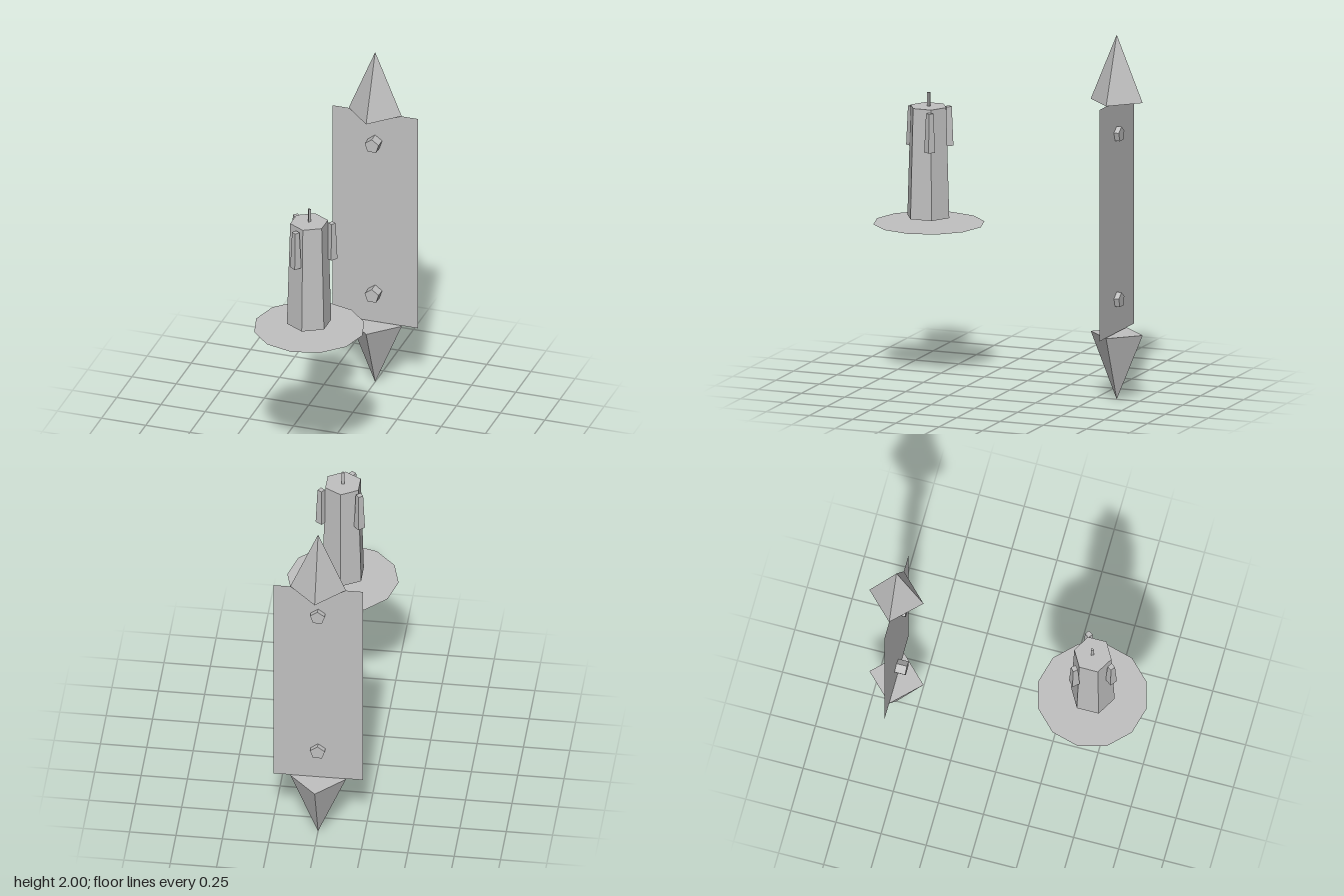
import * as THREE from 'three';

export function createModel() {
  const model = new THREE.Group();
  model.name = 'wallSconceWithCandle';
  const grey = new THREE.MeshStandardMaterial({ color: 0xc0c0c0 });
  grey.name = 'grey';
  grey.flatShading = true;
  const greySheet = grey;
  greySheet.side = THREE.DoubleSide;

  const add = (name, geometry, x, y, z, parent = model) => {
    const mesh = new THREE.Mesh(geometry, grey);
    mesh.name = name;
    mesh.position.set(x, y, z);
    parent.add(mesh);
    return mesh;
  };

  // Wall side: thin back panel, pyramid spikes and pentagonal studs
  const wallZ = -0.618;
  add('backPanel', new THREE.PlaneGeometry(0.482, 1.268), 0, 1.003, wallZ);
  const spike = new THREE.ConeGeometry(0.15, 0.362, 4);
  add('topSpike', spike, 0, 1.819, wallZ);
  add('bottomSpike', spike, 0, 0.184, wallZ).rotation.x = Math.PI;
  const stud = new THREE.CylinderGeometry(0.0415, 0.0415, 0.086, 5).rotateX(-Math.PI / 2);
  add('lowerStud', stud, 0, 0.549, -0.603);
  add('upperStud', stud, 0, 1.457, -0.603);

  // Candle group, centred on the flat dish
  const candle = new THREE.Group();
  candle.name = 'candle';
  candle.position.z = 0.468;
  model.add(candle);
  const dish = new THREE.CircleGeometry(0.3, 12).rotateX(-Math.PI / 2);
  add('dish', dish, 0, 0.88, 0, candle);
  add('candleBody', new THREE.CylinderGeometry(0.103, 0.121, 0.604, 6), 0, 1.217, 0.003, candle);
  add('wick', new THREE.CylinderGeometry(0.01, 0.01, 0.075, 3), 0, 1.557, 0, candle);

  // Wax drips around the rim: x, z, turn
  const drip = new THREE.CylinderGeometry(0.02, 0.03, 0.213, 4);
  for (const [x, z, turn] of [[-0.098, -0.073, -0.08], [0.111, -0.05, 0.2], [-0.037, 0.115, 0.15]]) {
    add('waxDrip', drip, x, 1.398, z, candle).rotation.y = turn;
  }
  return model;
}
